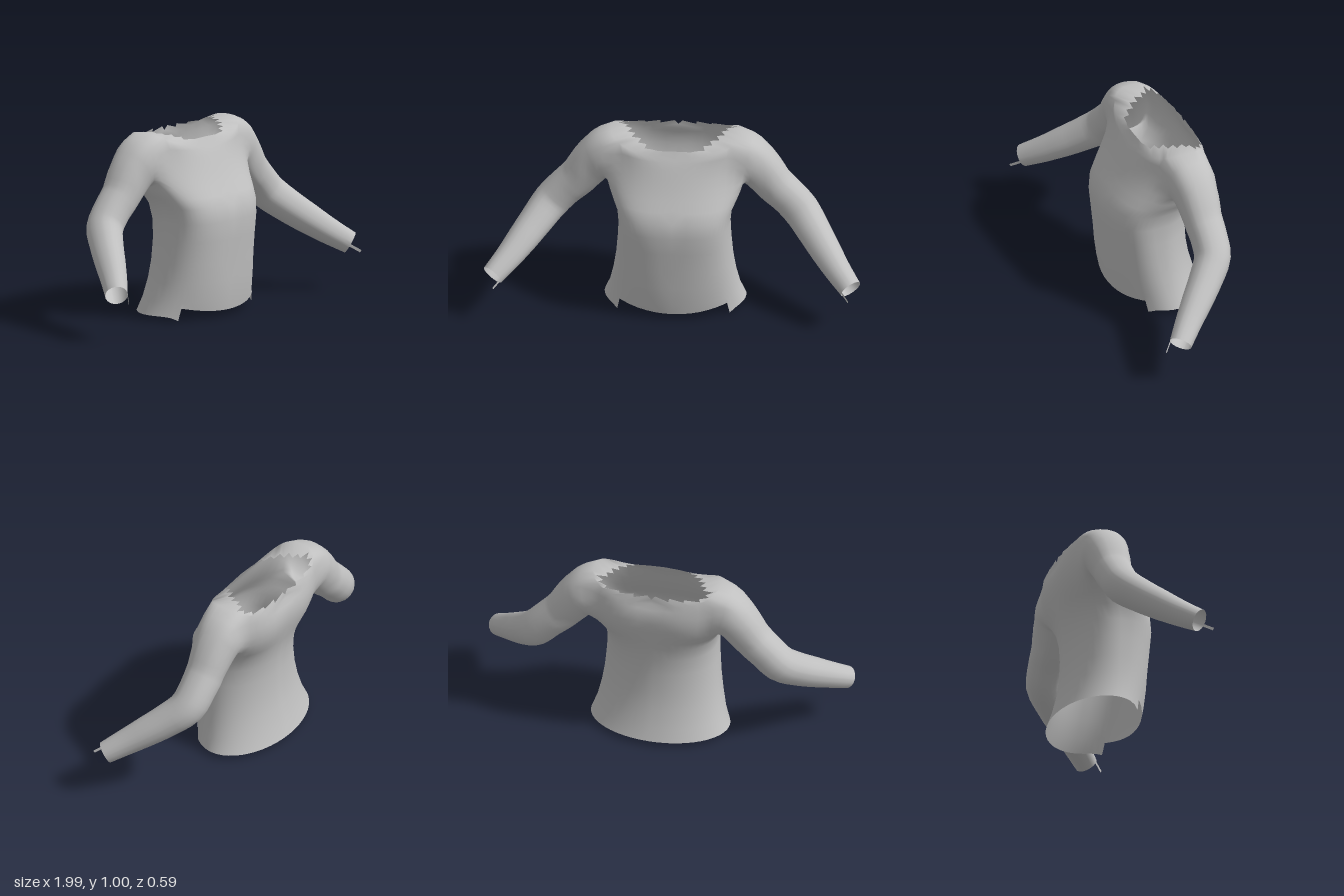
import * as THREE from 'three';
import { mergeVertices } from 'three/addons/utils/BufferGeometryUtils.js';

const HALF = 24;                       // columns from centre front to centre back
const ARM = { c0: 7, c1: 17, r0: 8, r1: 13 }; // armhole block in the torso grid
const STEP = 7;                        // column of the side slit in the hem

// Torso rows: height, side lift, half width, front z, back z, front and back squareness
const ROWS = [
  [0.03, 0, 0.375, 0.185, -0.29, 2, 2],
  [0.1, 0, 0.347, 0.195, -0.265, 2.1, 2],
  [0.2, 0, 0.325, 0.205, -0.24, 2.3, 2],
  [0.3, 0, 0.31, 0.21, -0.225, 2.5, 2],
  [0.42, 0, 0.3, 0.22, -0.22, 2.7, 2],
  [0.52, 0, 0.295, 0.226, -0.225, 3, 2.1],
  [0.6, 0, 0.303, 0.217, -0.24, 3, 2.2],
  [0.66, 0, 0.335, 0.187, -0.26, 2.7, 2.3],
  [0.7, 0, 0.36, 0.156, -0.277, 2.4, 2.4],
  [0.755, 0, 0.375, 0.127, -0.292, 2.2, 2.4],
  [0.81, 0, 0.38, 0.1, -0.3, 2.1, 2.4],
  [0.86, 0.01, 0.385, 0.077, -0.293, 2.1, 2.5],
  [0.89, 0.04, 0.38, 0.062, -0.283, 2.3, 2.6],
  [0.915, 0.082, 0.345, 0.045, -0.272, 3, 3],
];

// Neckline, centre front to centre back
const NECK = [
  [0, 0.945, 0.03], [0.12, 0.945, 0.02], [0.17, 0.965, -0.03], [0.22, 0.977, -0.09],
  [0.25, 0.982, -0.15], [0.28, 0.975, -0.195], [0.23, 0.96, -0.238], [0.12, 0.953, -0.258], [0, 0.95, -0.26],
];

// Sleeve centre line with radius
const SLEEVE = [
  [0.388, 0.845, -0.117, 0.138], [0.44, 0.785, -0.12, 0.12], [0.515, 0.685, -0.12, 0.104],
  [0.59, 0.61, -0.12, 0.099], [0.66, 0.533, -0.107, 0.098], [0.73, 0.458, -0.035, 0.09],
  [0.8, 0.387, 0.05, 0.082], [0.87, 0.32, 0.135, 0.071], [0.947, 0.255, 0.22, 0.06],
];

const vec = (p) => new THREE.Vector3(p[0], p[1], p[2]);

function torsoPoint(j, i) {
  const [y, lift, w, zf, zb, nf, nb] = ROWS[j];
  const a = (Math.PI * i) / HALF;
  const s = i === HALF ? 0 : Math.sin(a);
  const c = Math.cos(a);
  const p = 2 / (c >= 0 ? nf : nb);
  let z = (zf + zb) / 2 + Math.sign(c) * ((zf - zb) / 2) * Math.abs(c) ** p;
  const x = w * s ** p;
  if (c < 0 && y > 0.68) z += 0.014 * Math.exp(-((x / 0.07) ** 2)); // spine hollow
  let h = y + lift * s * s;
  if (j === 0) h = i < STEP ? 0.035 + 0.035 * (x / 0.29) ** 2 : 0.028 - 0.026 * Math.exp(STEP - i);
  return new THREE.Vector3(x, h, z);
}

// How far each neckline vertex reaches inwards: torn, with deep notches behind the shoulders
function tear(i) {
  if (i < 3) return 1;
  if (i % 2) return i > 17 ? 1.4 : 1.05;
  return i >= 14 && i <= 18 ? 0.3 : 0.75;
}

// Half the garment as points and triangles, on the +x side
function buildHalf() {
  const pts = [];
  const tris = [];
  const add = (v) => pts.push(v) - 1;
  const quad = (a, b, c, d) => tris.push([a, b, c], [a, c, d]);

  // Torso grid, ending in a torn neckline
  const grid = ROWS.map((_, j) => Array.from({ length: HALF + 1 }, (_, i) => add(torsoPoint(j, i))));
  const neck = new THREE.CatmullRomCurve3(NECK.map(vec));
  const top = grid.length - 1;
  grid.push(grid[top].map((base, i) => {
    const v = pts[base].clone().lerp(neck.getPoint(i / HALF), tear(i));
    if (i === 0 || i === HALF) v.x = 0;
    return add(v);
  }));
  const slit = add(new THREE.Vector3(0.29, 0.07, 0.1));
  for (let j = 0; j <= top; j++) {
    for (let i = 0; i < HALF; i++) {
      if (j >= ARM.r0 && j < ARM.r1 && i >= ARM.c0 && i < ARM.c1) continue;
      const b = j === 0 && i === STEP - 1 ? slit : grid[j][i + 1];
      quad(grid[j][i], b, grid[j + 1][i + 1], grid[j + 1][i]);
    }
  }

  // Loop of vertices round the armhole
  let ring = [];
  for (let i = ARM.c0; i < ARM.c1; i++) ring.push(grid[ARM.r0][i]);
  for (let j = ARM.r0; j < ARM.r1; j++) ring.push(grid[j][ARM.c1]);
  for (let i = ARM.c1; i > ARM.c0; i--) ring.push(grid[ARM.r1][i]);
  for (let j = ARM.r1; j > ARM.r0; j--) ring.push(grid[j][ARM.c0]);
  const n = ring.length;
  const angles = ring.map((k) => Math.atan2((pts[k].y - 0.845) / 0.15, (pts[k].z + 0.11) / 0.125));

  // Sleeve rings growing out of that loop, turning from the shoulder into the arm
  const path = new THREE.CatmullRomCurve3(SLEEVE.map(vec));
  const rings = 24;
  let along;
  for (let k = 0; k <= rings; k++) {
    const t = k / rings;
    const f = t * (SLEEVE.length - 1);
    const s = Math.min(Math.floor(f), SLEEVE.length - 2);
    const r = THREE.MathUtils.lerp(SLEEVE[s][3], SLEEVE[s + 1][3], f - s);
    const centre = path.getPoint(t);
    along = path.getTangent(t);
    along.lerp(new THREE.Vector3(1, 0, 0), Math.max(0, 0.65 - 3 * t)).normalize();
    const ez = new THREE.Vector3(0, 0, 1).addScaledVector(along, -along.z).normalize();
    const eu = ez.clone().cross(along);
    const next = angles.map((a) => add(centre.clone()
      .addScaledVector(ez, r * Math.cos(a)).addScaledVector(eu, r * Math.sin(a))));
    for (let m = 0; m < n; m++) quad(ring[m], ring[(m + 1) % n], next[(m + 1) % n], next[m]);
    ring = next;
  }

  // Small loose tab on the inner cuff
  const [p, q] = [ring[n - 1], ring[2]];
  quad(p, q, add(pts[q].clone().addScaledVector(along, 0.065)), add(pts[p].clone().addScaledVector(along, 0.065)));
  return { pts, tris };
}

// Relax the armhole area, keeping open edges and their neighbours in place
function relax(geometry, passes) {
  const pos = geometry.attributes.position;
  const idx = geometry.index.array;
  const near = Array.from({ length: pos.count }, () => new Map());
  for (let t = 0; t < idx.length; t += 3) {
    for (let e = 0; e < 3; e++) {
      const a = idx[t + e];
      const b = idx[t + ((e + 1) % 3)];
      near[a].set(b, (near[a].get(b) || 0) + 1);
      near[b].set(a, (near[b].get(a) || 0) + 1);
    }
  }
  const open = near.map((m) => [...m.values()].includes(1));
  const free = near.map((m, i) => !open[i] && ![...m.keys()].some((q) => open[q])
    && pos.getY(i) > 0.64 && Math.abs(pos.getX(i)) < 0.5);
  const v = new THREE.Vector3();
  for (let k = 0; k < passes; k++) {
    const old = near.map((_, i) => new THREE.Vector3().fromBufferAttribute(pos, i));
    free.forEach((ok, i) => {
      if (!ok) return;
      v.set(0, 0, 0);
      for (const q of near[i].keys()) v.add(old[q]);
      v.divideScalar(near[i].size).lerp(old[i], 0.5);
      pos.setXYZ(i, v.x, v.y, v.z);
    });
  }
}

export function createModel() {
  const { pts, tris } = buildHalf();
  const n = pts.length;
  const positions = [];
  const index = [];
  // Left half, then its mirror image
  for (const side of [1, -1]) for (const p of pts) positions.push(side * p.x, p.y, p.z);
  for (const [a, b, c] of tris) index.push(a, b, c, a + n, c + n, b + n);
  let geometry = new THREE.BufferGeometry();
  geometry.setAttribute('position', new THREE.Float32BufferAttribute(positions, 3));
  geometry.setIndex(index);
  geometry = mergeVertices(geometry, 1e-4);
  relax(geometry, 2);
  geometry.computeVertexNormals();

  const cloth = new THREE.MeshStandardMaterial({ color: 0xc0c0c0, side: THREE.DoubleSide });
  cloth.name = 'greyCloth';
  const shirt = new THREE.Mesh(geometry, cloth);
  shirt.name = 'longSleeveShirt';
  const group = new THREE.Group();
  group.name = 'shirt';
  group.add(shirt);
  return group;
}
